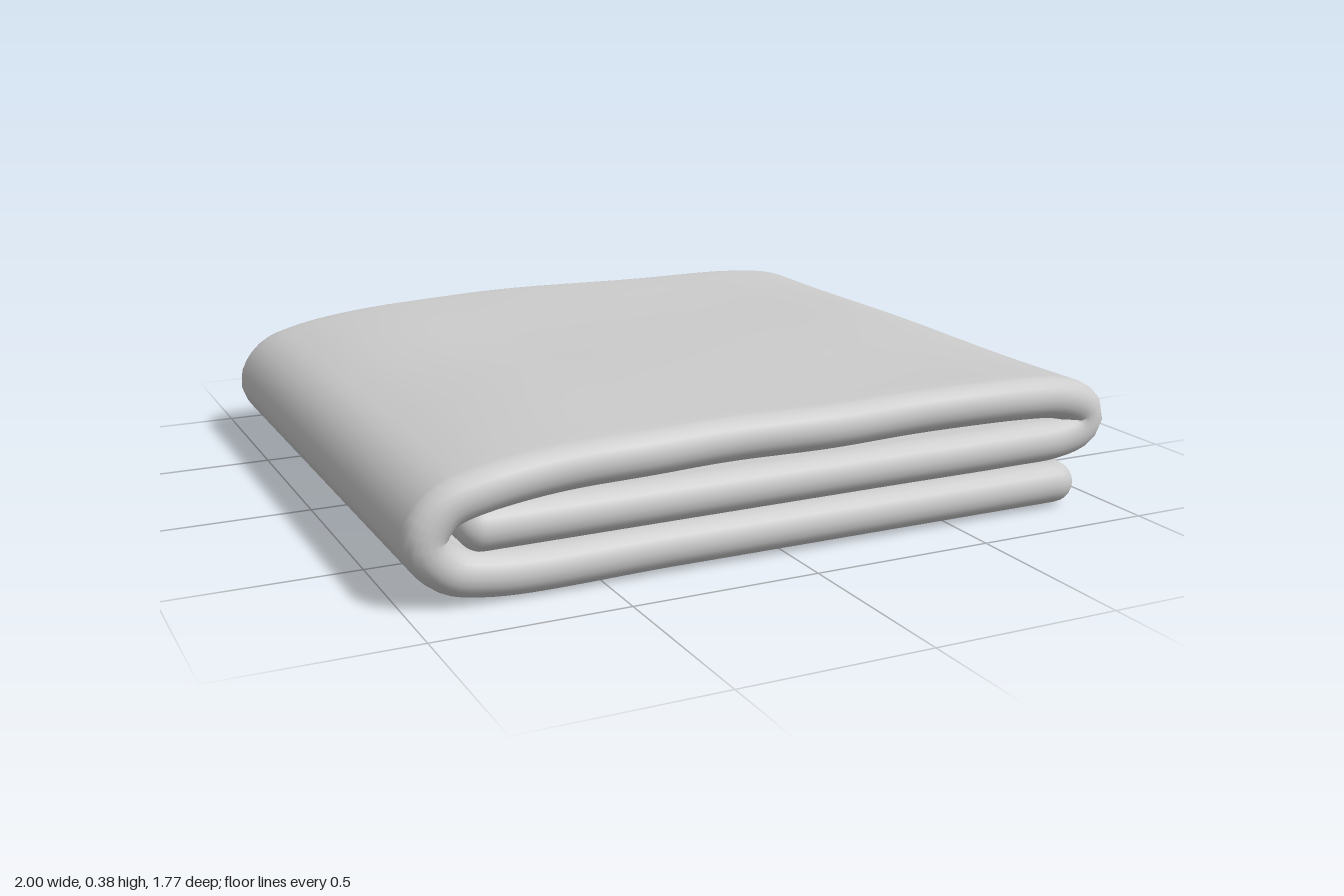
import * as THREE from 'three';
import { mergeVertices } from 'three/addons/utils/BufferGeometryUtils.js';

const HALF_WIDTH = 0.865; // half of the cloth's depth along z
const RADIUS = 0.058;     // half of the cloth's thickness

// Fold line seen from the front: bottom layer, left fold, top layer, right fold, middle layer
const FOLD = [
  [0.91, 0.059], [0.3, 0.059], [-0.3, 0.059], [-0.78, 0.06], [-0.89, 0.088], [-0.942, 0.16],
  [-0.9, 0.232], [-0.8, 0.27], [-0.6, 0.3], [-0.3, 0.31], [0, 0.315], [0.4, 0.315], [0.7, 0.312],
  [0.85, 0.298], [0.92, 0.272], [0.942, 0.24], [0.925, 0.208], [0.86, 0.186], [0.7, 0.181],
  [0.3, 0.18], [-0.3, 0.178], [-0.86, 0.176],
];

// Rounded slab outline: [position across z from -1 to 1, corner cosine, thickness sine]
function slabOutline(flatSteps, roundSteps) {
  const ring = [];
  for (const side of [1, -1]) {
    for (let i = 0; i < roundSteps; i++) {
      const a = -Math.PI / 2 + (Math.PI * i) / roundSteps;
      ring.push([side, side * Math.cos(a), side * Math.sin(a)]);
    }
    for (let i = 0; i < flatSteps; i++) {
      ring.push([side * (1 - (2 * i) / flatSteps), 0, side]);
    }
  }
  return ring;
}

function foldedClothGeometry() {
  const curve = new THREE.CatmullRomCurve3(FOLD.map(([x, y]) => new THREE.Vector3(x, y, 0)));
  curve.arcLengthDivisions = 1500;
  const length = curve.getLength();

  // Stations along the cloth, with quarter-round hems at both ends
  const stations = [];
  const hem = 8;
  for (let i = 0; i < hem; i++) {
    const a = (Math.PI / 2) * (i / hem);
    stations.push([(RADIUS * (1 - Math.cos(a))) / length, RADIUS * Math.sin(a)]);
  }
  const u0 = RADIUS / length;
  const mirrored = stations.map(([u, h]) => [1 - u, h]).reverse();
  for (let i = 0; i <= 240; i++) stations.push([u0 + (1 - 2 * u0) * (i / 240), RADIUS]);
  stations.push(...mirrored);

  const ring = slabOutline(28, 10);
  const n = ring.length;
  const positions = [];
  const index = [];
  stations.forEach(([u, h], row) => {
    const p = curve.getPointAt(u);
    const t = curve.getTangentAt(u);
    const top = THREE.MathUtils.smoothstep(p.y, 0.24, 0.31);
    // The top layer spreads a little past the others, with wavy edges
    const front = top * (0.011 + 0.005 * Math.sin(p.x * 12 + 0.2));
    const back = top * 0.024 * Math.exp(-(((p.x + 0.2) / 0.38) ** 2));
    for (const [across, c, s] of ring) {
      const flat = HALF_WIDTH - RADIUS + (across > 0 ? front : back);
      const z = across * flat + c * h;
      const ripple = top * (0.003 * Math.sin(z * 6 + p.x * 2) + 0.002 * Math.sin(p.x * 7 - z * 3));
      positions.push(p.x - t.y * s * h, p.y + t.x * s * h + ripple, z);
    }
    if (row === 0) return;
    for (let j = 0; j < n; j++) {
      const k = (j + 1) % n;
      const a = (row - 1) * n + j, b = (row - 1) * n + k;
      const d = row * n + j, e = row * n + k;
      index.push(a, d, b, b, d, e);
    }
  });

  let geometry = new THREE.BufferGeometry();
  geometry.setAttribute('position', new THREE.Float32BufferAttribute(positions, 3));
  geometry.setIndex(index);
  geometry = mergeVertices(geometry, 1e-5);
  geometry.computeVertexNormals();
  return geometry;
}

export function createModel() {
  const group = new THREE.Group();
  group.name = 'foldedTowel';
  const fabric = new THREE.MeshStandardMaterial({ color: 0xcccccc });
  fabric.name = 'light grey fabric';
  const cloth = new THREE.Mesh(foldedClothGeometry(), fabric);
  cloth.name = 'foldedCloth';
  group.add(cloth);
  return group;
}
